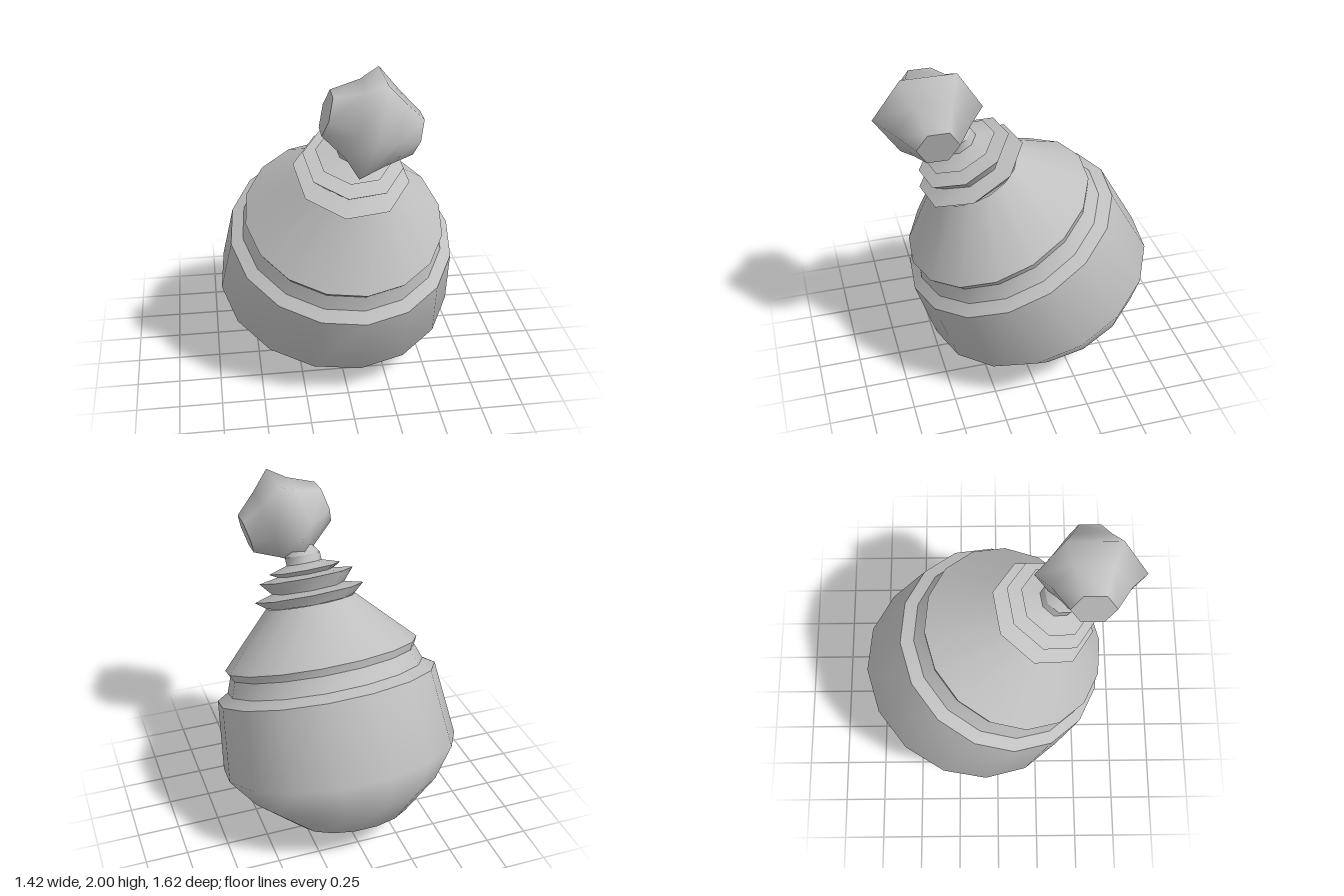
import * as THREE from 'three';

const grey = new THREE.MeshStandardMaterial({ color: 0xc0c0c0, side: THREE.DoubleSide });
grey.name = 'grey';

// Skin over tilted rings, each given by its front and back point: [frontZ, frontY, backZ, backY].
// Sections are smooth inside; separate sections meet at a sharp edge.
function loft(name, rings, sides, phase) {
  const pos = [], index = [];
  const lean = 0.05; // slight sideways lean of the axis
  for (const [zf, yf, zb, yb] of rings) {
    const cz = (zf + zb) / 2, cy = (yf + yb) / 2;
    const bz = (zb - zf) / 2, by = (yb - yf) / 2, r = Math.hypot(bz, by);
    const cx = lean * (cy - 0.5);
    for (let j = 0; j < sides; j++) {
      const a = phase + (j / sides) * Math.PI * 2, c = Math.cos(a), s = Math.sin(a) * r;
      pos.push(cx + s, cy + c * by - s * lean, cz + c * bz);
    }
  }
  for (let i = 0; i < rings.length - 1; i++) {
    for (let j = 0; j < sides; j++) {
      const k = (j + 1) % sides;
      const a = i * sides + j, b = i * sides + k, c = a + sides, d = b + sides;
      index.push(a, c, b, b, c, d);
    }
  }
  const g = new THREE.BufferGeometry();
  g.setAttribute('position', new THREE.Float32BufferAttribute(pos, 3));
  g.setIndex(index);
  g.computeVertexNormals();
  const mesh = new THREE.Mesh(g, grey);
  mesh.name = name;
  return mesh;
}

export function createModel() {
  const model = new THREE.Group();
  model.name = 'leaningBottle';

  // Round lower bowl
  const bodyPhase = THREE.MathUtils.degToRad(-6);
  const rim = [0.64, 0.57, -0.57, 1.12];
  model.add(loft('bowl', [
    [-0.35, 0.045, -0.35, 0.045],
    [-0.04, 0.005, -0.67, 0.25],
    [0.33, 0.1, -0.77, 0.47],
    [0.52, 0.19, -0.81, 0.7],
    rim,
  ], 16, bodyPhase));

  // Ledge, groove, lip and cone
  const ledge = [0.594, 0.635, -0.49, 1.13];
  const groove = [0.6, 0.73, -0.42, 1.2];
  const lip = [0.64, 0.76, -0.42, 1.25];
  const coneTop = [0.49, 1.19, 0, 1.41];
  [['ledge', rim, ledge], ['groove', ledge, groove], ['lip', groove, lip], ['cone', lip, coneTop]]
    .forEach(([name, a, b]) => model.add(loft(name, [a, b], 16, bodyPhase)));

  // Stack of flared neck collars: valley, sharp rim, valley, ...
  const neck = new THREE.Group();
  neck.name = 'neck';
  const neckRings = [
    coneTop,
    [0.56, 1.2, -0.03, 1.49],
    [0.48, 1.28, 0.08, 1.46],
    [0.56, 1.32, 0.05, 1.56],
    [0.465, 1.39, 0.155, 1.53],
    [0.52, 1.39, 0.13, 1.57],
    [0.425, 1.47, 0.235, 1.56],
    [0.45, 1.51, 0.26, 1.6],
    [0.42, 1.63, 0.36, 1.66],
  ];
  for (let i = 0; i < neckRings.length - 1; i++) {
    neck.add(loft('collar' + (i + 1), [neckRings[i], neckRings[i + 1]], 8, THREE.MathUtils.degToRad(12)));
  }
  model.add(neck);

  // Six-sided knob lying crosswise, widest at its middle ridge
  const knob = new THREE.Group();
  knob.name = 'knob';
  const profile = [[0.125, -0.238], [0.215, -0.09], [0.305, 0], [0.207, 0.13], [0.118, 0.265]]
    .map(([r, y]) => new THREE.Vector2(r, y));
  const barrel = new THREE.Mesh(new THREE.LatheGeometry(profile, 6), grey);
  barrel.name = 'knobBarrel';
  knob.add(barrel);
  for (const [side, p] of [[-1, profile[0]], [1, profile[4]]]) {
    const g = new THREE.CircleGeometry(p.x, 6).rotateX(-side * Math.PI / 2).rotateY(Math.PI / 2);
    const cap = new THREE.Mesh(g, grey);
    cap.name = 'knobCap';
    cap.position.y = p.y;
    knob.add(cap);
  }
  knob.rotation.z = THREE.MathUtils.degToRad(-106);
  knob.position.set(0.1, 1.745, 0.505);
  model.add(knob);

  return model;
}
